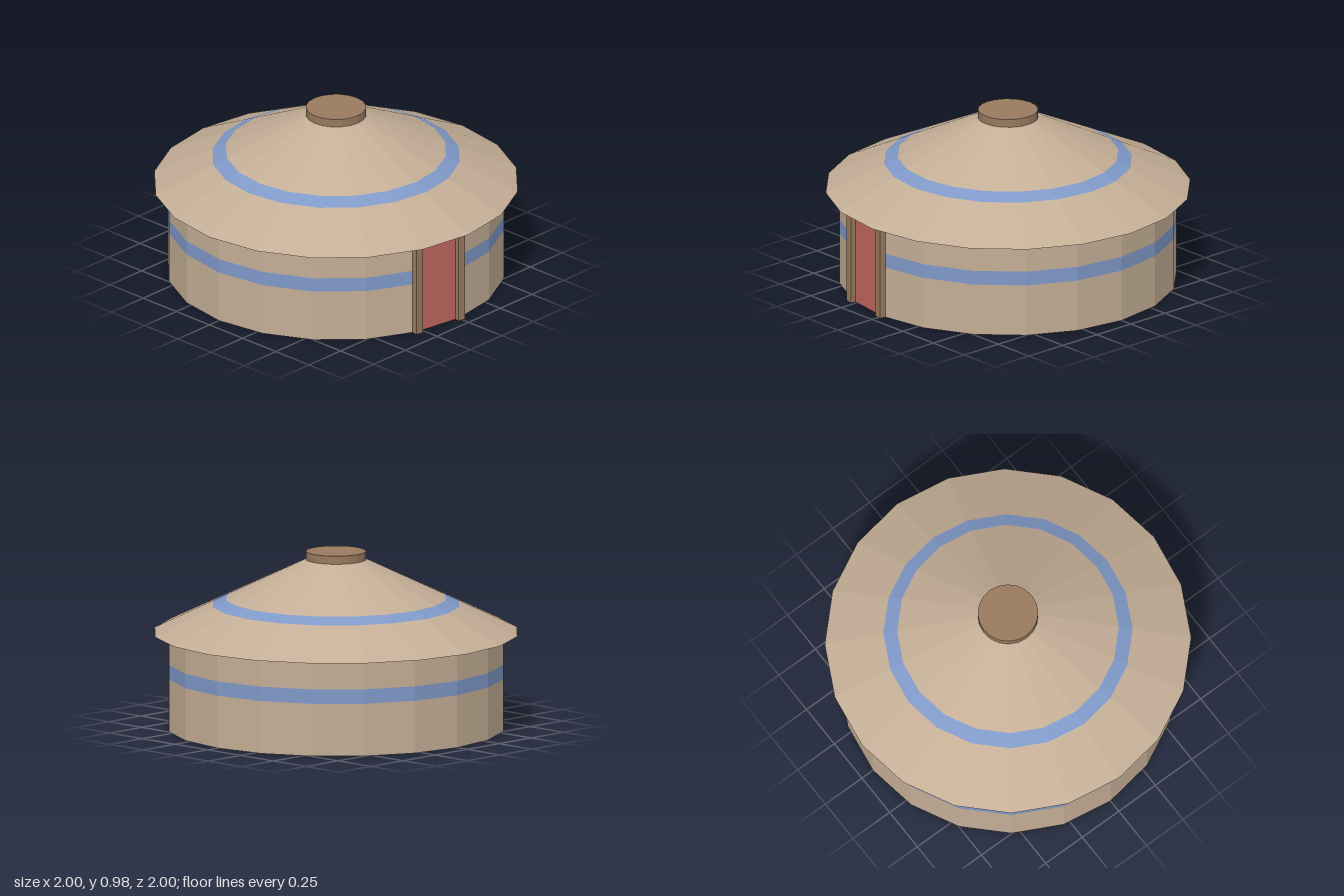
import * as THREE from 'three';

const SIDES = 20;
const STEP = (Math.PI * 2) / SIDES;
const WALL_R = 0.925;
const EAVE_R = 1;
const EAVE_Y = 0.527;
const CROWN_R = 0.165;
const CROWN_Y = 0.93;

const mat = (color) =>
  new THREE.MeshStandardMaterial({ color, flatShading: true, side: THREE.DoubleSide });

export function createModel() {
  const felt = mat(0xc4ae96);
  const blue = mat(0x7f99c8);
  const red = mat(0xc0665f);
  const wood = mat(0x997a5f);

  const yurt = new THREE.Group();
  yurt.name = 'yurt';

  const add = (name, geometry, material, y = 0, parent = yurt) => {
    const mesh = new THREE.Mesh(geometry, material);
    mesh.name = name;
    mesh.position.y = y;
    parent.add(mesh);
    return mesh;
  };

  // Open faceted ring between two heights
  const ring = (name, r0, y0, r1, y1, material, start = 0, count = SIDES) =>
    add(name,
      new THREE.CylinderGeometry(r1, r0, y1 - y0, count, 1, true, start, count * STEP),
      material, (y0 + y1) / 2);

  // Wall: every facet but the doorway, in three bands
  const levels = [0, 0.29, 0.37, EAVE_Y];
  ['lowerWall', 'wallBand', 'upperWall'].forEach((name, i) =>
    ring(name, WALL_R, levels[i], WALL_R, levels[i + 1],
      i === 1 ? blue : felt, Math.PI / 2, SIDES - 1));

  // Door panel fills the remaining facet
  ring('door', WALL_R, 0, WALL_R, EAVE_Y, red, Math.PI / 2 - STEP, 1);

  // Door posts stand on the two corners of the door facet
  const doorPosts = new THREE.Group();
  doorPosts.name = 'doorPosts';
  yurt.add(doorPosts);
  for (const a of [0, STEP]) {
    const post = add('doorPost', new THREE.BoxGeometry(0.035, EAVE_Y, 0.045), wood,
      EAVE_Y / 2, doorPosts);
    post.position.x = WALL_R * Math.cos(a) + 0.011 * Math.cos(STEP / 2);
    post.position.z = WALL_R * Math.sin(a) + 0.011 * Math.sin(STEP / 2);
    post.rotation.y = -STEP / 2;
  }

  // Flat underside of the eave
  const eave = add('eaveUnderside', new THREE.RingGeometry(WALL_R, EAVE_R, SIDES), felt, EAVE_Y);
  eave.rotation.x = Math.PI / 2;

  // Conical roof with a coloured band
  const roofY = (r) => EAVE_Y + ((EAVE_R - r) / (EAVE_R - CROWN_R)) * (CROWN_Y - EAVE_Y);
  const radii = [EAVE_R, 0.68, 0.605, CROWN_R];
  ['lowerRoof', 'roofBand', 'upperRoof'].forEach((name, i) =>
    ring(name, radii[i], roofY(radii[i]), radii[i + 1], roofY(radii[i + 1]),
      i === 1 ? blue : felt));

  // Crown cap
  add('crown', new THREE.CylinderGeometry(CROWN_R, CROWN_R, 0.045, SIDES), wood, CROWN_Y + 0.0225);

  return yurt;
}
